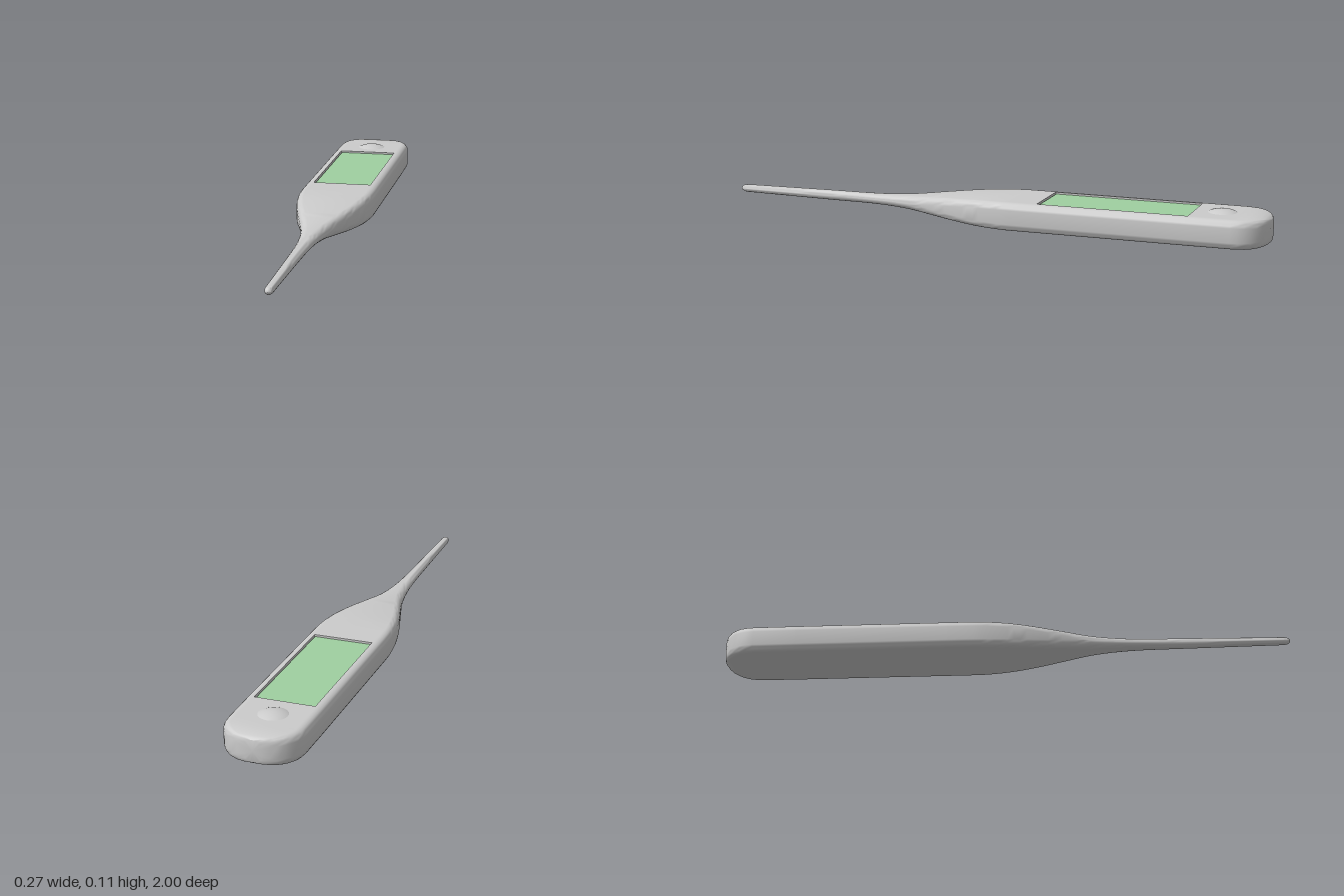
import * as THREE from 'three';
import { toCreasedNormals } from 'three/addons/utils/BufferGeometryUtils.js';

const MID = 0.05;           // height of the long axis
const CORNER = 0.025;       // edge rounding of the body
const WIN = { x: 0.105, back: -0.735, front: -0.2, depth: 0.014 };

// Rounded-rectangle cross-section, counter-clockwise seen from +z.
// The top side carries a slot that is sunk by `depth` (0 = flush).
function section(w, h, z, depth = 0) {
  const rx = Math.min(w, CORNER), ry = Math.min(h, CORNER);
  const xi = Math.min(WIN.x, w - rx), top = MID + h;
  const pts = [];
  const arc = (sx, sy, start) => {
    for (let i = 0; i <= 5; i++) {
      const a = start + (i / 5) * Math.PI / 2;
      pts.push([sx * (w - rx) + rx * Math.cos(a), MID + sy * (h - ry) + ry * Math.sin(a), z]);
    }
  };
  arc(1, 1, 0);
  pts.push([xi, top, z], [xi, top - depth, z], [-xi, top - depth, z], [-xi, top, z]);
  arc(-1, 1, Math.PI / 2);
  arc(-1, -1, Math.PI);
  arc(1, -1, Math.PI * 1.5);
  return pts;
}

// Skin a list of rings and close both ends
function loft(rings) {
  const n = rings[0].length, pos = rings.flat(2), idx = [];
  for (let i = 0; i < rings.length - 1; i++) {
    for (let j = 0; j < n; j++) {
      const a = i * n + j, b = i * n + (j + 1) % n;
      idx.push(a, b, a + n, b, b + n, a + n);
    }
  }
  const cap = (start, z, flip) => {
    const c = pos.length / 3;
    pos.push(0, MID, z);
    for (let j = 0; j < n; j++) {
      const a = start + j, b = start + (j + 1) % n;
      if (flip) idx.push(c, b, a); else idx.push(c, a, b);
    }
  };
  cap(0, rings[0][0][2], true);
  cap((rings.length - 1) * n, rings[rings.length - 1][0][2], false);
  const g = new THREE.BufferGeometry();
  g.setAttribute('position', new THREE.Float32BufferAttribute(pos, 3));
  g.setIndex(idx);
  return toCreasedNormals(g, 0.7);
}

function bodyGeometry() {
  const rings = [];
  // Curved butt end: half width, half height, z
  [
    [0.03, 0.038, -1], [0.055, 0.043, -0.994], [0.078, 0.046, -0.984],
    [0.098, 0.048, -0.97], [0.114, 0.0495, -0.952], [0.126, 0.05, -0.932],
    [0.133, 0.05, -0.91], [0.136, 0.05, -0.885],
  ].forEach(([w, h, z]) => rings.push(section(w, h, z)));

  // Straight handle with the sunken display window
  [[WIN.back, 0], [WIN.back, WIN.depth], [WIN.front, WIN.depth], [WIN.front, 0]]
    .forEach(([z, d]) => rings.push(section(0.137, 0.05, z, d)));

  // Taper into the thin probe
  const taper = new THREE.CatmullRomCurve3([
    [0.137, 0.05, -0.14], [0.135, 0.05, -0.08], [0.124, 0.0475, 0.01], [0.104, 0.042, 0.1],
    [0.075, 0.034, 0.2], [0.048, 0.025, 0.3], [0.032, 0.02, 0.4], [0.024, 0.0185, 0.5],
    [0.02, 0.018, 0.62], [0.017, 0.016, 0.8], [0.0145, 0.014, 0.975],
  ].map((p) => new THREE.Vector3(...p)));
  for (const p of taper.getPoints(40)) rings.push(section(p.x, p.y, p.z));

  // Rounded probe tip
  for (let i = 1; i <= 5; i++) {
    const a = (i / 5) * 1.45;
    rings.push(section(0.0145 * Math.cos(a), 0.014 * Math.cos(a), 0.975 + 0.025 * Math.sin(a)));
  }
  return loft(rings);
}

export function createModel() {
  const group = new THREE.Group();
  const grey = new THREE.MeshStandardMaterial({ color: 0xcccccc });
  const green = new THREE.MeshStandardMaterial({ color: 0x9fd0a0 });
  const add = (name, geometry, material) => {
    const mesh = new THREE.Mesh(geometry, material);
    mesh.name = name;
    group.add(mesh);
    return mesh;
  };

  add('body', bodyGeometry(), grey);

  // Display panel lying in the window
  const gap = 0.003, length = WIN.front - WIN.back;
  const screen = add('screen',
    new THREE.BoxGeometry(2 * (WIN.x - gap), 0.008, length - 2 * gap), green);
  screen.position.set(0, 0.1 - WIN.depth + 0.004, (WIN.front + WIN.back) / 2);

  // Shallow domed push button
  const r = 0.05, rise = 0.011, R = (r * r + rise * rise) / (2 * rise);
  const button = add('button',
    new THREE.SphereGeometry(R, 32, 8, 0, Math.PI * 2, 0, Math.asin(r / R)), grey);
  button.position.set(0, 0.1 + rise - R, -0.83);

  return group;
}
